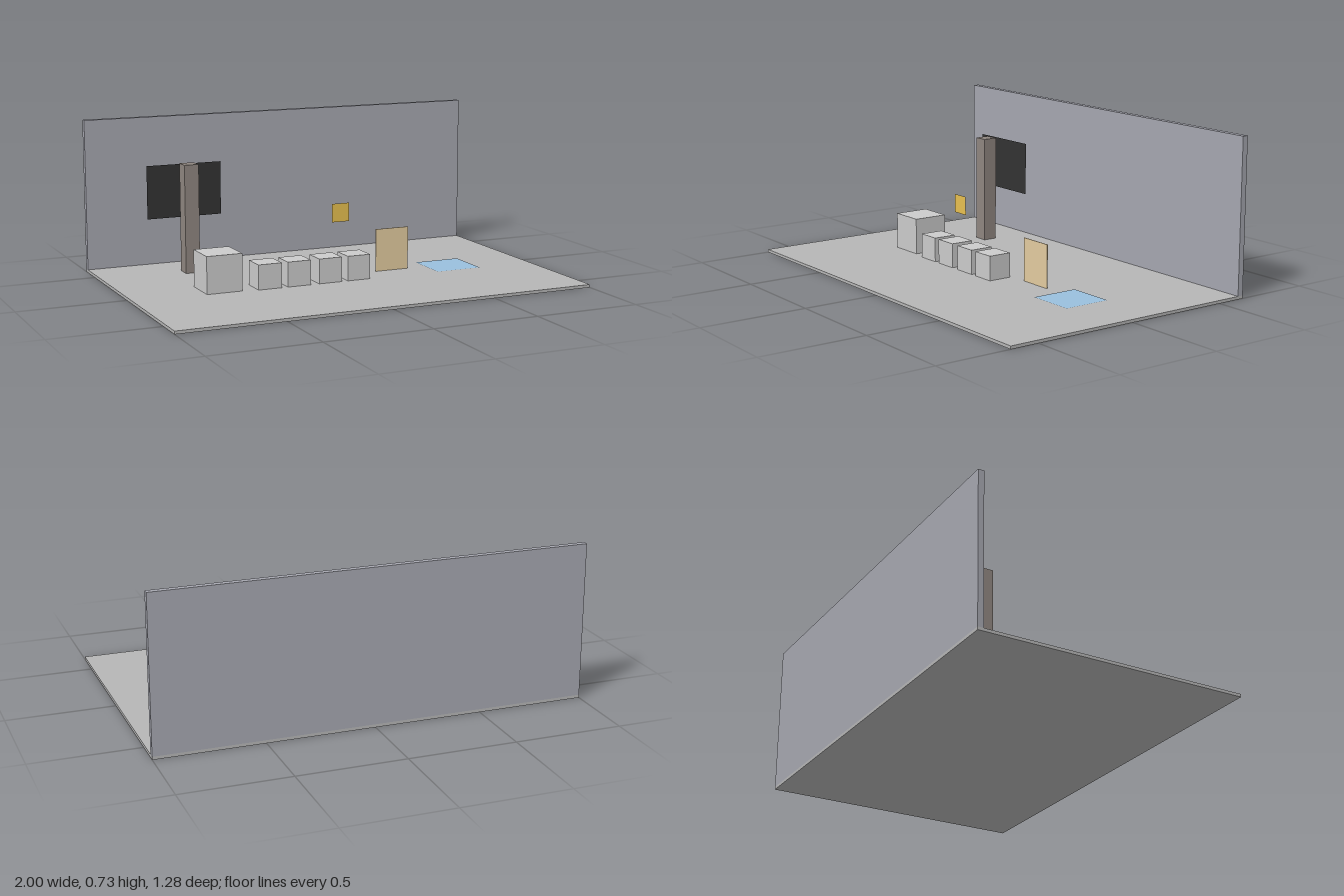
import * as THREE from 'three';

const FLOOR_TOP = 0.014;

export function createModel() {
  const group = new THREE.Group();

  const add = (name, geometry, color, x, y, z, side = THREE.FrontSide) => {
    const mesh = new THREE.Mesh(geometry, new THREE.MeshStandardMaterial({ color, side }));
    mesh.name = name;
    mesh.position.set(x, y, z);
    group.add(mesh);
    return mesh;
  };
  // Box standing on a given height
  const block = (name, color, w, h, d, x, z, base = FLOOR_TOP) =>
    add(name, new THREE.BoxGeometry(w, h, d), color, x, base + h / 2, z);
  // Paper-thin panel, visible from both sides
  const panel = (name, color, w, h, x, y, z) =>
    add(name, new THREE.PlaneGeometry(w, h), color, x, y, z, THREE.DoubleSide);

  // Room shell
  block('floor', 0xb6b6b6, 2, FLOOR_TOP, 1.28, 0, 0, 0);
  block('backWall', 0xa6a7b0, 2, 0.73 - FLOOR_TOP, 0.028, 0, -0.626);

  // Pillar with the dark screen behind it
  block('pillar', 0x8f8680, 0.07, 0.53 - FLOOR_TOP, 0.07, -0.567, -0.377);
  panel('screen', 0x333333, 0.37, 0.255, -0.557, 0.388, -0.48);

  // Large crate and the row of small crates
  block('largeCrate', 0xcccccc, 0.17, 0.187 - FLOOR_TOP, 0.17, -0.575, 0.014);
  [-0.362, -0.218, -0.062, 0.082].forEach((x, i) =>
    block(`smallCrate${i + 1}`, 0xcccccc, 0.114, 0.13 - FLOOR_TOP, 0.114, x, 0.057));

  // Standing board, floating sign and floor mat
  block('board', 0xe3cca0, 0.17, 0.217 - FLOOR_TOP, 0.004, 0.315, -0.014);
  panel('sign', 0xe8c050, 0.085, 0.085, -0.032, 0.347, 0.157);
  panel('floorMat', 0x99c0de, 0.226, 0.226, 0.602, FLOOR_TOP + 0.003, 0.014).rotation.x = -Math.PI / 2;

  return group;
}
